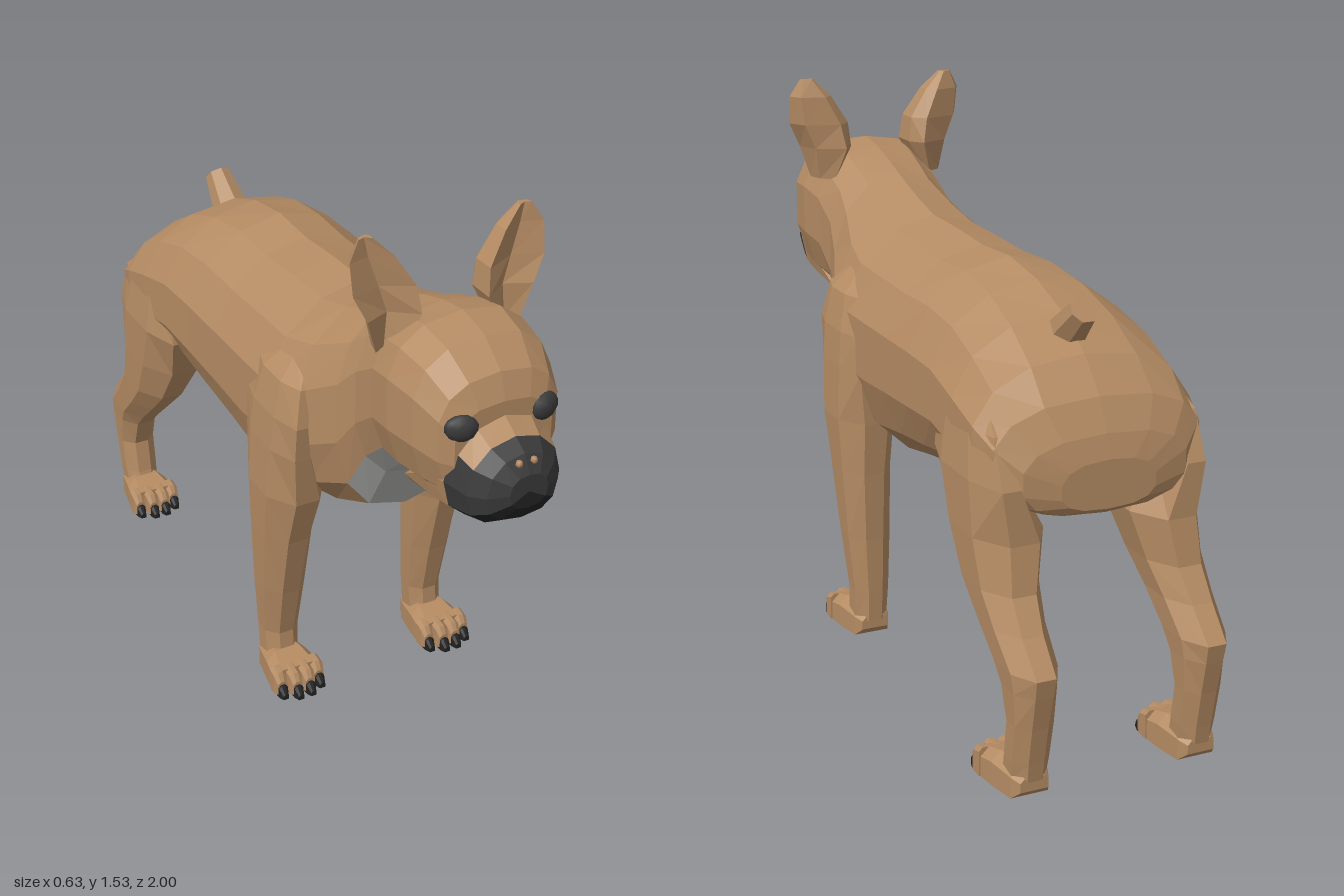
import * as THREE from 'three';

const mat = (name, color) => {
  const m = new THREE.MeshStandardMaterial({ color });
  m.name = name;
  return m;
};
const fur = mat('tan fur', 0xb48b63);
const mask = mat('charcoal mask', 0x3a3a3a);
const chest = mat('grey chest', 0xb0b0ae);
const dark = mat('black', 0x222222);
const V = (x, y, z) => new THREE.Vector3(x, y, z);

// Faceted skin through a list of rings, closed at both ends; pick(row, side) chooses the material
function loft(name, rings, materials, pick = () => 0) {
  const buckets = materials.map(() => []);
  const n = rings[0].length, last = rings.length - 1;
  const mid = (r) => r.reduce((s, p) => s.add(p), V(0, 0, 0)).divideScalar(n);
  for (let i = 0; i < last; i++) {
    for (let j = 0; j < n; j++) {
      const k = (j + 1) % n, a = rings[i], b = rings[i + 1];
      buckets[pick(i, j)].push([a[j], a[k], b[k]], [a[j], b[k], b[j]]);
    }
  }
  const c0 = mid(rings[0]), c1 = mid(rings[last]);
  for (let j = 0; j < n; j++) {
    const k = (j + 1) % n;
    buckets[pick(0, j)].push([c0, rings[0][k], rings[0][j]]);
    buckets[pick(last - 1, j)].push([c1, rings[last][j], rings[last][k]]);
  }
  // turn the faces outwards
  let volume = 0;
  const d = V(0, 0, 0);
  buckets.flat().forEach(([a, b, c]) => {
    volume += d.copy(a).sub(c0).dot(b.clone().sub(c0).cross(c.clone().sub(c0)));
  });
  const pos = [], geo = new THREE.BufferGeometry();
  buckets.forEach((tris, m) => {
    geo.addGroup(pos.length / 3, tris.length * 3, m);
    tris.forEach(([a, b, c]) => (volume > 0 ? [a, b, c] : [a, c, b]).forEach((p) => pos.push(p.x, p.y, p.z)));
  });
  geo.setAttribute('position', new THREE.Float32BufferAttribute(pos, 3));
  geo.computeVertexNormals();
  const mesh = new THREE.Mesh(geo, materials);
  mesh.name = name;
  return mesh;
}

// Upright oval ring at z: half width, top, widest height, bottom, roundness of the upper half; side 0 starts at the bottom
const power = (v, p) => Math.sign(v) * Math.abs(v) ** p;
function oval([z, w, top, mid, bot, round = 0.8], n) {
  return Array.from({ length: n }, (_, j) => {
    const a = -Math.PI / 2 + (j / n) * Math.PI * 2;
    const p = Math.sin(a) > 0 ? round : 0.8;
    const s = power(Math.sin(a), p);
    return V(w * power(Math.cos(a), p), mid + s * (s > 0 ? top - mid : mid - bot), z);
  });
}

// Level eight-sided ring used for the legs
function legRing([y, xi, xo, zb, zf]) {
  return Array.from({ length: 8 }, (_, j) => {
    const a = ((j + 0.5) / 8) * Math.PI * 2;
    return V((xi + xo) / 2 + ((xo - xi) / 2) * Math.cos(a) * 1.082, y, (zb + zf) / 2 + ((zf - zb) / 2) * Math.sin(a) * 1.082);
  });
}

// Chamfered upright ring used for paws and toes
function pawRing([z, x0, x1, y0, y1]) {
  const c = Math.min(x1 - x0, y1 - y0) * 0.3;
  return [V(x0, y0, z), V(x1, y0, z), V(x1, y1 - c, z), V(x1 - c, y1, z), V(x0 + c, y1, z), V(x0, y1 - c, z)];
}

function leg(name, rows, heel) {
  const g = new THREE.Group();
  g.name = name;
  g.add(loft('limb', rows.map(legRing), [fur]));
  g.add(loft('paw', [
    [heel + 0.012, 0.195, 0.27, 0.025, 0.06], [heel + 0.04, 0.182, 0.283, 0, 0.08],
    [heel + 0.12, 0.17, 0.298, 0, 0.09], [heel + 0.19, 0.162, 0.308, 0.004, 0.074],
  ].map(pawRing), [fur]));
  for (let i = 0; i < 4; i++) {
    const x = 0.178 + i * 0.038, reach = heel + (i % 3 ? 0.23 : 0.21);
    g.add(loft('toe', [
      [heel + 0.165, x - 0.017, x + 0.017, 0.004, 0.08],
      [reach - 0.015, x - 0.018, x + 0.018, 0.006, 0.074],
      [reach, x - 0.014, x + 0.014, 0.012, 0.052],
    ].map(pawRing), [fur]));
    g.add(loft('claw', [
      [reach - 0.015, x - 0.014, x + 0.014, 0.004, 0.045],
      [reach + 0.005, x - 0.013, x + 0.013, 0.004, 0.042],
      [reach + 0.022, x - 0.008, x + 0.008, 0.006, 0.022],
    ].map(pawRing), [dark]));
  }
  return g;
}

// Cupped ear, open to the front
function ear() {
  const rows = [
    [1.24, 0.135, 0.2, 0.635, 0.55], [1.33, 0.092, 0.228, 0.65, 0.525], [1.4, 0.1, 0.262, 0.637, 0.535],
    [1.48, 0.15, 0.264, 0.618, 0.55], [1.53, 0.2, 0.235, 0.6, 0.575],
  ];
  return loft('ear', rows.map(([y, xi, xo, zf, zb]) => {
    const at = (u, v) => V(xi + (xo - xi) * u, y, zb + (zf - zb) * v);
    return [at(0, 1), at(0.5, 0.6), at(1, 0.85), at(0.82, 0.3), at(0.22, 0), at(0, 0.35)];
  }), [fur]);
}

function eye() {
  const mesh = new THREE.Mesh(new THREE.SphereGeometry(1, 10, 7), mask);
  mesh.name = 'eye';
  mesh.scale.set(0.042, 0.035, 0.024);
  mesh.position.set(0.114, 1.145, 0.876);
  mesh.rotation.y = 0.35;
  return mesh;
}

function nostril() {
  const mesh = new THREE.Mesh(new THREE.SphereGeometry(0.01, 6, 4), fur);
  mesh.name = 'nostril';
  mesh.position.set(0.02, 1.08, 0.982);
  return mesh;
}

export function createModel() {
  const dog = new THREE.Group();
  dog.name = 'dog';

  // Skull, neck and torso in one skin, with the pale patch under the throat
  dog.add(loft('body', [
    [0.882, 0.135, 1.19, 1.1, 0.93], [0.855, 0.165, 1.255, 1.12, 0.9], [0.78, 0.192, 1.315, 1.14, 0.89],
    [0.68, 0.205, 1.335, 1.14, 0.88], [0.59, 0.195, 1.32, 1.12, 0.872],
    [0.5, 0.192, 1.293, 1.06, 0.79, 0.85], [0.43, 0.208, 1.267, 0.99, 0.65, 0.95],
    [0.3, 0.26, 1.225, 0.92, 0.6, 1.05], [0.18, 0.287, 1.195, 0.9, 0.575, 1.08], [0.02, 0.289, 1.19, 0.9, 0.552, 1.08],
    [-0.14, 0.29, 1.178, 0.9, 0.585, 1.05], [-0.3, 0.292, 1.185, 0.9, 0.612, 1.05], [-0.46, 0.298, 1.16, 0.9, 0.65, 1],
    [-0.6, 0.305, 1.11, 0.87, 0.66, 0.95], [-0.72, 0.304, 1.035, 0.84, 0.66, 0.9], [-0.8, 0.285, 0.95, 0.81, 0.66],
    [-0.842, 0.225, 0.87, 0.77, 0.67], [-0.86, 0.13, 0.81, 0.74, 0.685],
  ].map((r) => oval(r, 14)), [fur, chest], (i, j) => ((i === 4 || i === 5) && (j < 2 || j > 11) ? 1 : 0)));

  // Muzzle: tan bridge and cheeks, charcoal nose, black jaw
  dog.add(loft('muzzle', [
    [0.65, 0.13, 0.91, 0.9, 0.866], [0.78, 0.152, 1.02, 0.98, 0.87], [0.86, 0.147, 1.165, 1, 0.876, 0.95],
    [0.932, 0.128, 1.122, 0.995, 0.895, 0.95], [0.972, 0.097, 1.098, 1, 0.922, 0.95], [1, 0.052, 1.055, 1.01, 0.965, 0.9],
  ].map((r) => oval(r, 12)), [fur, mask, dark], (i, j) => {
    if (j < 2 || j > 9) return 2;
    return i > 2 || (i === 2 && (j < 4 || j > 7)) ? 1 : 0;
  }));

  // Stub tail
  const tail = new THREE.Mesh(new THREE.CylinderGeometry(0.037, 0.054, 0.13, 7).toNonIndexed(), fur);
  tail.geometry.computeVertexNormals();
  tail.name = 'tail';
  tail.position.set(0, 1.1, -0.668);
  tail.rotation.x = -0.85;
  dog.add(tail);

  // Paired parts, given in rows of height, inner x, outer x, back z, front z
  const frontRows = [
    [1.06, 0.17, 0.222, 0.15, 0.28], [1, 0.2, 0.276, 0.09, 0.33], [0.9, 0.22, 0.298, 0.055, 0.35],
    [0.8, 0.2, 0.307, 0.05, 0.34],
    [0.65, 0.145, 0.313, 0.055, 0.32], [0.5, 0.162, 0.306, 0.065, 0.27], [0.3, 0.17, 0.295, 0.073, 0.218],
    [0.14, 0.18, 0.282, 0.075, 0.182], [0.05, 0.185, 0.28, 0.078, 0.19],
  ];
  const hindRows = [
    [0.96, 0.2, 0.265, -0.69, -0.55], [0.88, 0.22, 0.296, -0.79, -0.47], [0.76, 0.19, 0.311, -0.845, -0.45],
    [0.62, 0.12, 0.31, -0.845, -0.52], [0.5, 0.15, 0.305, -0.868, -0.6], [0.42, 0.165, 0.3, -0.925, -0.685],
    [0.34, 0.17, 0.295, -1, -0.775], [0.29, 0.175, 0.29, -0.99, -0.825], [0.2, 0.18, 0.285, -0.97, -0.862],
    [0.1, 0.182, 0.283, -0.952, -0.845], [0.05, 0.185, 0.28, -0.945, -0.83],
  ];
  for (const side of [1, -1]) {
    const half = new THREE.Group();
    half.name = side > 0 ? 'leftParts' : 'rightParts';
    half.add(leg('frontLeg', frontRows, 0.07), leg('hindLeg', hindRows, -0.955), ear(), eye(), nostril());
    half.scale.x = side;
    dog.add(half);
  }
  return dog;
}
